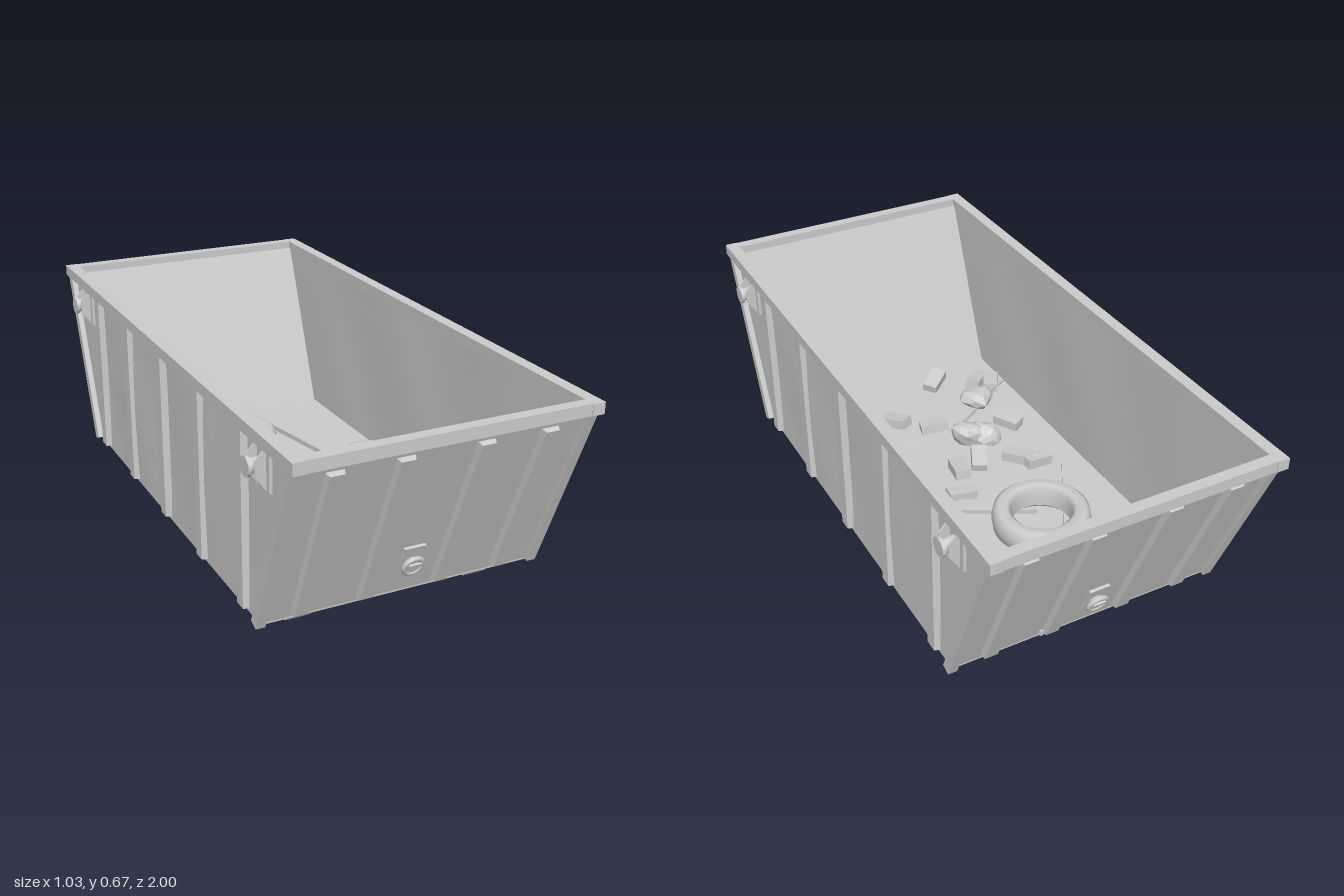
import * as THREE from 'three';

const grey = new THREE.MeshStandardMaterial({ color: 0xcccccc });
const greyFlat = new THREE.MeshStandardMaterial({ color: 0xcccccc, flatShading: true });

const BOTTOM = 0.055, TOP = 0.635;      // wall heights
const Z_LOW = 0.737, Z_HIGH = 0.967;    // end wall outer face at bottom and top
const TILT = Math.atan2(Z_HIGH - Z_LOW, TOP - BOTTOM);
const SLOPE = Math.hypot(Z_HIGH - Z_LOW, TOP - BOTTOM);

function add(parent, name, geometry, x = 0, y = 0, z = 0, material = grey) {
  const mesh = new THREE.Mesh(geometry, material);
  mesh.name = name;
  mesh.position.set(x, y, z);
  parent.add(mesh);
  return mesh;
}

const box = (w, h, d) => new THREE.BoxGeometry(w, h, d);

function polygon(points, depth) {
  const shape = new THREE.Shape(points.map(([x, y]) => new THREE.Vector2(x, y)));
  return new THREE.ExtrudeGeometry(shape, { depth, bevelEnabled: false });
}

// Pressed rib: trapezoid section standing along y, projecting towards +z
function rib(width, depth, height) {
  const w = width / 2;
  return polygon([[-w, 0], [w, 0], [w - 0.006, -depth], [-w + 0.006, -depth]].reverse(), height).rotateX(-Math.PI / 2);
}

// Long side wall: a box spread to a trapezoid and gently dented
function sideWall() {
  const g = new THREE.BoxGeometry(0.016, TOP - BOTTOM, 2, 1, 8, 40);
  const p = g.attributes.position;
  for (let i = 0; i < p.count; i++) {
    const t = p.getY(i) / (TOP - BOTTOM) + 0.5, u = p.getZ(i);
    const dent = 0.006 * Math.sin(t * Math.PI) * Math.cos(u * 8) * (1 - u * u);
    p.setX(i, p.getX(i) - dent);
    p.setZ(i, u * THREE.MathUtils.lerp(Z_LOW, Z_HIGH, t));
  }
  g.computeVertexNormals();
  return g;
}

// Lifting lug on the side wall, projecting towards +x
function liftingLug() {
  const lug = new THREE.Group();
  lug.name = 'liftingLug';
  add(lug, 'lugBackPlate', box(0.012, 0.125, 0.1), 0.458, 0.565, 0);
  for (const z of [-0.032, 0.026])
    add(lug, 'lugGusset', polygon([[0.45, 0.505], [0.465, 0.505], [0.498, 0.555], [0.498, 0.595], [0.472, 0.622], [0.45, 0.622]], 0.006), 0, 0, z);
  add(lug, 'lugPin', new THREE.CylinderGeometry(0.022, 0.022, 0.06, 20).rotateZ(Math.PI / 2), 0.478, 0.573, 0);
  add(lug, 'lugPinCap', new THREE.CylinderGeometry(0.03, 0.03, 0.01, 20).rotateZ(Math.PI / 2), 0.508, 0.573, 0);
  return lug;
}

// Sloping end wall with ribs, corner strips and drain
function endWall() {
  const end = new THREE.Group();
  end.name = 'endWall';
  end.position.set(0, BOTTOM, Z_LOW);
  end.rotation.x = TILT;
  add(end, 'endPanel', box(0.9, SLOPE, 0.016), 0, SLOPE / 2, -0.008);
  for (const x of [-0.335, -0.125, 0.125, 0.333]) add(end, 'endRib', rib(0.056, 0.018, 0.565), x, 0.018, 0);
  for (const s of [-1, 1]) add(end, 'cornerStrip', box(0.03, SLOPE, 0.034), s * 0.459, SLOPE / 2, -0.002);
  add(end, 'drainPlate', box(0.07, 0.11, 0.01), 0, 0.139, 0.004);
  add(end, 'drainPipe', new THREE.CylinderGeometry(0.026, 0.026, 0.024, 24).rotateX(Math.PI / 2), 0, 0.129, 0.014);
  add(end, 'drainCollar', new THREE.TorusGeometry(0.03, 0.008, 10, 28), 0, 0.129, 0.022);
  add(end, 'drainHandle', box(0.044, 0.01, 0.01), 0, 0.139, 0.028);
  return end;
}

// Lumpy rock from a rule-displaced icosahedron
function rock(radius, seed) {
  const g = new THREE.IcosahedronGeometry(radius, 1);
  const p = g.attributes.position, v = new THREE.Vector3();
  for (let i = 0; i < p.count; i++) {
    v.fromBufferAttribute(p, i);
    const k = 1 + 0.22 * Math.sin(v.x / radius * 3 + seed) * Math.cos(v.z / radius * 2.5 + seed * 2) + 0.1 * Math.sin(v.y / radius * 4 + seed);
    p.setXYZ(i, v.x * k, v.y * k * 0.8, v.z * k);
  }
  g.computeVertexNormals();
  return g;
}

// Rubbish lying on the floor
function debris() {
  const pile = new THREE.Group();
  pile.name = 'debris';
  const floor = 0.063;

  // Planks: start x, z, end x, z, height
  [[-0.01, -0.67, -0.36, -0.08, 0.02], [0.135, -0.75, 0.25, -0.18, 0.01], [-0.14, -0.22, 0.24, -0.02, 0.008], [-0.12, -0.53, 0.0, -0.3, 0.008]]
    .forEach(([x1, z1, x2, z2, h]) => {
      const plank = add(pile, 'plank', box(0.058, 0.018, Math.hypot(x2 - x1, z2 - z1)), (x1 + x2) / 2, floor + h, (z1 + z2) / 2);
      plank.rotation.y = Math.atan2(x2 - x1, z2 - z1);
    });

  // Tyre lying flat
  const profile = [[0.1, -0.03], [0.115, -0.045], [0.145, -0.045], [0.16, -0.032], [0.165, 0], [0.16, 0.032], [0.145, 0.045], [0.115, 0.045], [0.1, 0.03], [0.1, -0.03]];
  add(pile, 'tyre', new THREE.LatheGeometry(profile.map(([r, y]) => new THREE.Vector2(r, y)), 40), -0.085, floor + 0.07, -0.34);

  // Bricks: x, z, turn in degrees
  [[-0.27, 0, 5], [-0.22, 0.05, -55], [-0.09, 0.1, 65], [0, 0.08, 80], [0.06, -0.05, -5], [-0.3, 0.26, -60], [-0.04, 0.36, -15], [0.14, 0.26, -25],
    [0.26, 0.31, 10], [0.07, 0.45, -60], [0.17, 0.46, 18], [-0.33, 0.56, 40], [-0.37, 0.52, 60], [-0.18, 0.63, 40], [0.25, 0.6, 85]]
    .forEach(([x, z, turn], i) => {
      const brick = add(pile, 'brick', box(0.1, 0.035, 0.054), x, floor + 0.022, z);
      brick.rotation.set(0.12 * Math.sin(i * 2.3), THREE.MathUtils.degToRad(turn), 0.12 * Math.cos(i * 1.7));
    });

  // Rocks: x, z, radius
  [[0.31, -0.07, 0.06], [0.22, -0.035, 0.05], [-0.17, 0.2, 0.052], [-0.12, 0.235, 0.055], [-0.26, 0.43, 0.055]]
    .forEach(([x, z, r], i) => add(pile, 'rock', rock(r, i * 1.9), x, floor + r * 0.7, z, greyFlat));

  // Bent rods
  [[[0.1, -0.04], [0.17, 0.02], [0.22, 0.1], [0.28, 0.18], [0.3, 0.26]], [[-0.42, 0.51], [-0.33, 0.45], [-0.24, 0.39], [-0.14, 0.31]]]
    .forEach(path => {
      const curve = new THREE.CatmullRomCurve3(path.map(([x, z], i) => new THREE.Vector3(x, floor + 0.02 + 0.015 * (i % 2), z)));
      add(pile, 'bentRod', new THREE.TubeGeometry(curve, 20, 0.005, 6));
    });
  return pile;
}

export function createModel() {
  const model = new THREE.Group();
  model.name = 'skipContainer';

  add(model, 'floor', box(0.9, 0.012, Z_LOW * 2), 0, BOTTOM + 0.001, 0);

  // Each side, then the same turned half way round
  for (const turn of [0, Math.PI]) {
    const half = new THREE.Group();
    half.name = 'halfBody';
    half.rotation.y = turn;
    model.add(half);

    add(half, 'sideWall', sideWall(), 0.447, (TOP + BOTTOM) / 2, 0);
    for (let i = -2; i <= 2; i++) {
      const sideRib = add(half, 'sideRib', rib(0.056, 0.022, 0.565), 0.452, 0.068, i * 0.32);
      sideRib.rotation.y = Math.PI / 2;
    }
    for (const z of [-0.78, 0.78]) {
      const lug = liftingLug();
      lug.position.z = z;
      half.add(lug);
    }
    half.add(endWall());

    // Top rim
    add(half, 'sideRim', box(0.04, 0.037, 2), 0.458, 0.6465, 0);
    add(half, 'endRim', box(0.878, 0.037, 0.037), 0, 0.6465, 0.9785);

    // Skid with chamfered ends
    const skid = add(half, 'skid', polygon([[-0.67, 0], [0.67, 0], [0.715, 0.052], [-0.715, 0.052]], 0.08), 0.265, 0, 0);
    skid.rotation.y = -Math.PI / 2;
    skid.position.x = 0.345;
  }

  // Cross members between the skids
  for (const z of [-0.6, -0.2, 0.2, 0.6]) add(model, 'crossMember', box(0.54, 0.033, 0.05), 0, 0.0365, z);

  model.add(debris());
  return model;
}
